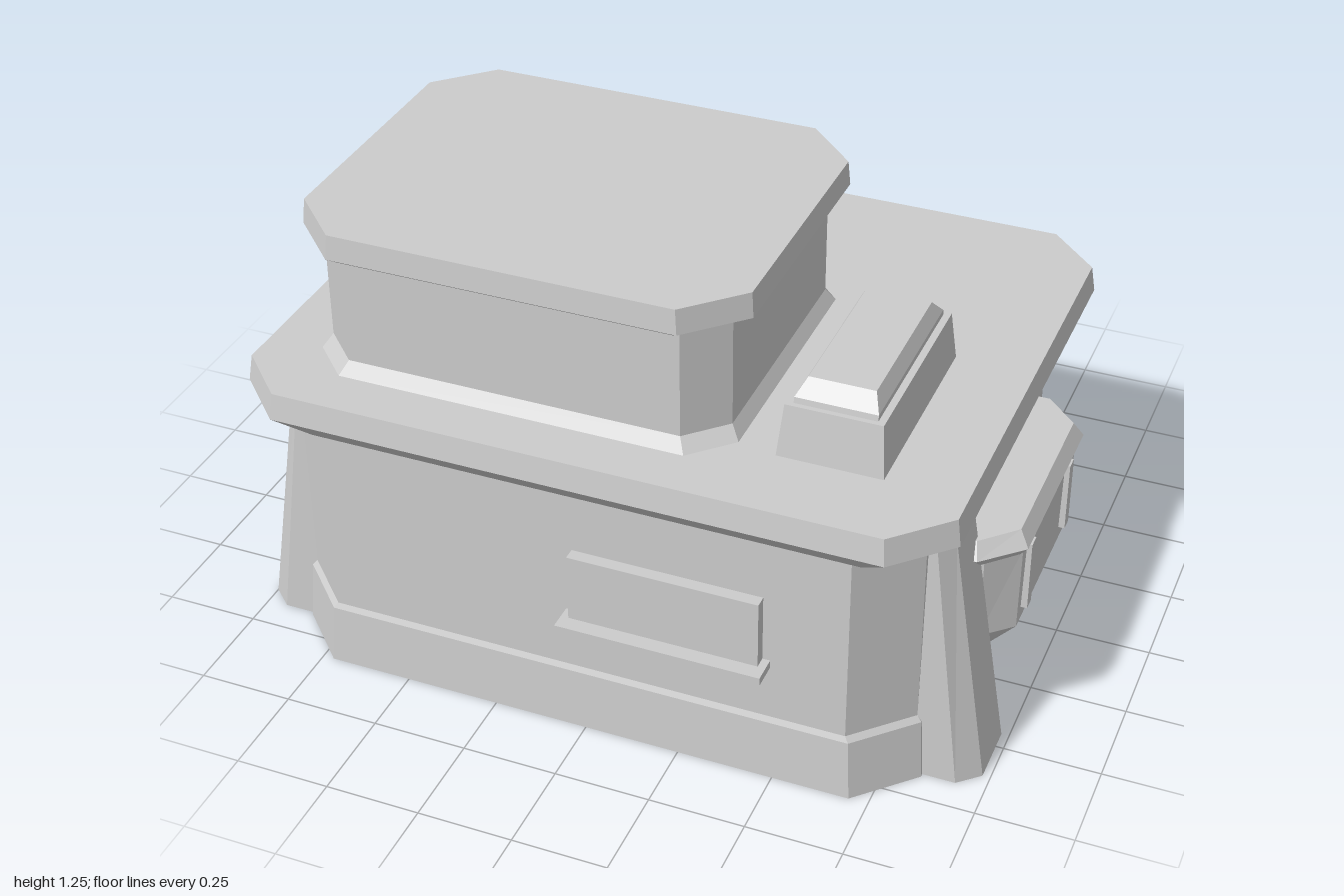
import * as THREE from 'three';

const stone = new THREE.MeshStandardMaterial({ color: 0xcccccc, side: THREE.DoubleSide });
stone.name = 'stone grey';

// Rectangle ring with four chamfered corners, counter-clockwise from above
const oct = (x0, x1, z0, z1, c) => [
  [x0 + c, z1], [x1 - c, z1], [x1, z1 - c], [x1, z0 + c],
  [x1 - c, z0], [x0 + c, z0], [x0, z0 + c], [x0, z1 - c]];
const rect = (x0, x1, z0, z1) => [[x0, z1], [x1, z1], [x1, z0], [x0, z0]];
// Ring chamfered only on its outer (+x) side
const half = (xi, xo, z0, z1, cx, cz) => [
  [xi, z1], [xo - cx, z1], [xo, z1 - cz], [xo, z0 + cz], [xo - cx, z0], [xi, z0]];
// Mirror a ring in the plane x = -0.01, keeping its winding
const flip = ring => ring.map(([x, z]) => [-0.02 - x, z]).reverse();

export function createModel() {
  const house = new THREE.Group();
  house.name = 'house';

  const add = (name, geometry) => {
    const mesh = new THREE.Mesh(geometry, stone);
    mesh.name = name;
    house.add(mesh);
    return mesh;
  };

  // Flat-faced loft through [height, ring] levels
  const loft = (name, levels, top = true, bottom = true) => {
    const p = [];
    const tri = (a, b, c) => p.push(...a, ...b, ...c);
    const rings = levels.map(([y, ring]) => ring.map(([x, z]) => [x, y, z]));
    const n = rings[0].length;
    for (let k = 0; k + 1 < rings.length; k++) {
      const lo = rings[k], hi = rings[k + 1];
      for (let i = 0; i < n; i++) {
        const j = (i + 1) % n;
        tri(lo[i], lo[j], hi[j]);
        tri(lo[i], hi[j], hi[i]);
      }
    }
    const first = rings[0], last = rings[rings.length - 1];
    for (let i = 1; i + 1 < n; i++) {
      if (top) tri(last[0], last[i], last[i + 1]);
      if (bottom) tri(first[0], first[i + 1], first[i]);
    }
    const g = new THREE.BufferGeometry();
    g.setAttribute('position', new THREE.Float32BufferAttribute(p, 3));
    g.computeVertexNormals();
    return add(name, g);
  };

  const box = (name, x0, x1, y0, y1, z0, z1) => {
    const m = add(name, new THREE.BoxGeometry(x1 - x0, y1 - y0, z1 - z0));
    m.position.set((x0 + x1) / 2, (y0 + y1) / 2, (z0 + z1) / 2);
    return m;
  };

  // Ground floor: open shell with a sloped plinth
  loft('groundFloorWalls', [
    [0, oct(-0.86, 0.84, -0.55, 0.815, 0.14)],
    [0.165, oct(-0.85, 0.83, -0.54, 0.805, 0.14)],
    [0.18, oct(-0.838, 0.818, -0.53, 0.798, 0.138)],
    [0.70, oct(-0.838, 0.818, -0.53, 0.798, 0.138)]], false, false);
  loft('lowerRoof', [
    [0.70, oct(-0.86, 0.84, -0.535, 0.80, 0.135)],
    [0.77, oct(-0.935, 0.915, -0.607, 0.867, 0.137)],
    [0.84, oct(-0.925, 0.905, -0.597, 0.857, 0.133)]]);

  // Upper floor
  loft('upperFloorWalls', [
    [0.84, oct(-0.78, 0.333, -0.165, 0.725, 0.1)],
    [0.875, oct(-0.757, 0.31, -0.142, 0.70, 0.095)],
    [1.17, oct(-0.757, 0.31, -0.142, 0.70, 0.095)]], false, false);
  loft('upperRoof', [
    [1.165, oct(-0.785, 0.335, -0.17, 0.72, 0.125)],
    [1.185, oct(-0.808, 0.362, -0.198, 0.747, 0.135)],
    [1.25, oct(-0.803, 0.357, -0.193, 0.742, 0.135)]]);
  box('upperBackPanel', -0.40, -0.29, 0.875, 1.16, -0.18, -0.13);
  box('upperSidePanel', -0.79, -0.74, 0.875, 1.15, 0.16, 0.27);

  // Stepped skylight on the lower roof
  loft('skylightBase', [
    [0.84, rect(0.433, 0.70, 0.08, 0.643)],
    [0.975, rect(0.445, 0.688, 0.10, 0.623)]]);
  loft('skylightTop', [
    [0.975, rect(0.463, 0.67, 0.11, 0.61)],
    [0.99, rect(0.463, 0.67, 0.115, 0.607)],
    [1.028, rect(0.483, 0.65, 0.15, 0.567)]]);

  // Leaning side buttresses
  const foot = half(0.80, 0.98, 0.40, 0.665, 0.055, 0.05);
  const head = half(0.80, 0.873, 0.425, 0.647, 0.035, 0.042);
  loft('leftButtress', [[0, foot], [0.69, head]], true, false);
  loft('rightButtress', [[0, flip(foot)], [0.69, flip(head)]], true, false);

  // Bay window on the left wall
  loft('bayBody', [
    [0.16, half(0.80, 0.86, -0.11, 0.40, 0.03, 0.03)],
    [0.295, half(0.80, 0.978, -0.17, 0.452, 0.075, 0.07)],
    [0.54, half(0.80, 0.982, -0.17, 0.465, 0.075, 0.075)]]);
  loft('bayCap', [
    [0.535, half(0.80, 0.978, -0.17, 0.48, 0.075, 0.075)],
    [0.565, half(0.80, 1.0, -0.196, 0.512, 0.1, 0.095)],
    [0.605, half(0.80, 0.975, -0.17, 0.483, 0.085, 0.085)]]);
  for (const z of [0.335, -0.018])
    box('bayWindowBar', 0.96, 0.995, 0.335, 0.53, z - 0.018, z + 0.018);

  // Front and back windows with sills
  box('frontWindow', -0.03, 0.465, 0.355, 0.54, 0.78, 0.83);
  box('frontSill', -0.05, 0.485, 0.333, 0.355, 0.78, 0.87);
  box('backWindow', -0.655, -0.285, 0.355, 0.54, -0.56, -0.51);
  box('backSill', -0.67, -0.27, 0.333, 0.355, -0.60, -0.51);

  // Door block with chamfered head
  const door = new THREE.Shape([
    [-0.13, 0.14], [0.36, 0.14], [0.36, 0.52], [0.235, 0.645], [-0.005, 0.645], [-0.13, 0.52],
  ].map(([x, y]) => new THREE.Vector2(x, y)));
  add('door', new THREE.ExtrudeGeometry(door, { depth: 0.10, bevelEnabled: false })).position.z = -0.607;
  box('doorKnob', 0.18, 0.22, 0.31, 0.335, -0.637, -0.60);
  box('doorDiamond', 0.088, 0.142, 0.543, 0.597, -0.615, -0.60).rotation.z = Math.PI / 4;
  box('doorLamp', -0.215, -0.155, 0.503, 0.597, -0.633, -0.52).rotation.z = Math.PI / 4;

  // Entrance steps
  for (let i = 0; i < 3; i++) {
    const w = 0.235 + i * 0.008, zBack = i ? -0.61 - i * 0.085 : -0.55;
    box('step', 0.11 - w, 0.11 + w, 0, 0.135 - i * 0.045, -0.69 - i * 0.09, zBack);
  }

  // Planter with three faceted shrubs
  box('planter', -0.652, -0.278, 0, 0.215, -0.78, -0.61);
  [-0.56, -0.465, -0.35].forEach((x, i) => {
    const g = new THREE.ConeGeometry(0.08, 0.12, 5).toNonIndexed();
    g.computeVertexNormals();
    const shrub = add('shrub', g);
    shrub.position.set(x, 0.268, -0.69);
    shrub.rotation.y = i * 0.7;
  });

  return house;
}
